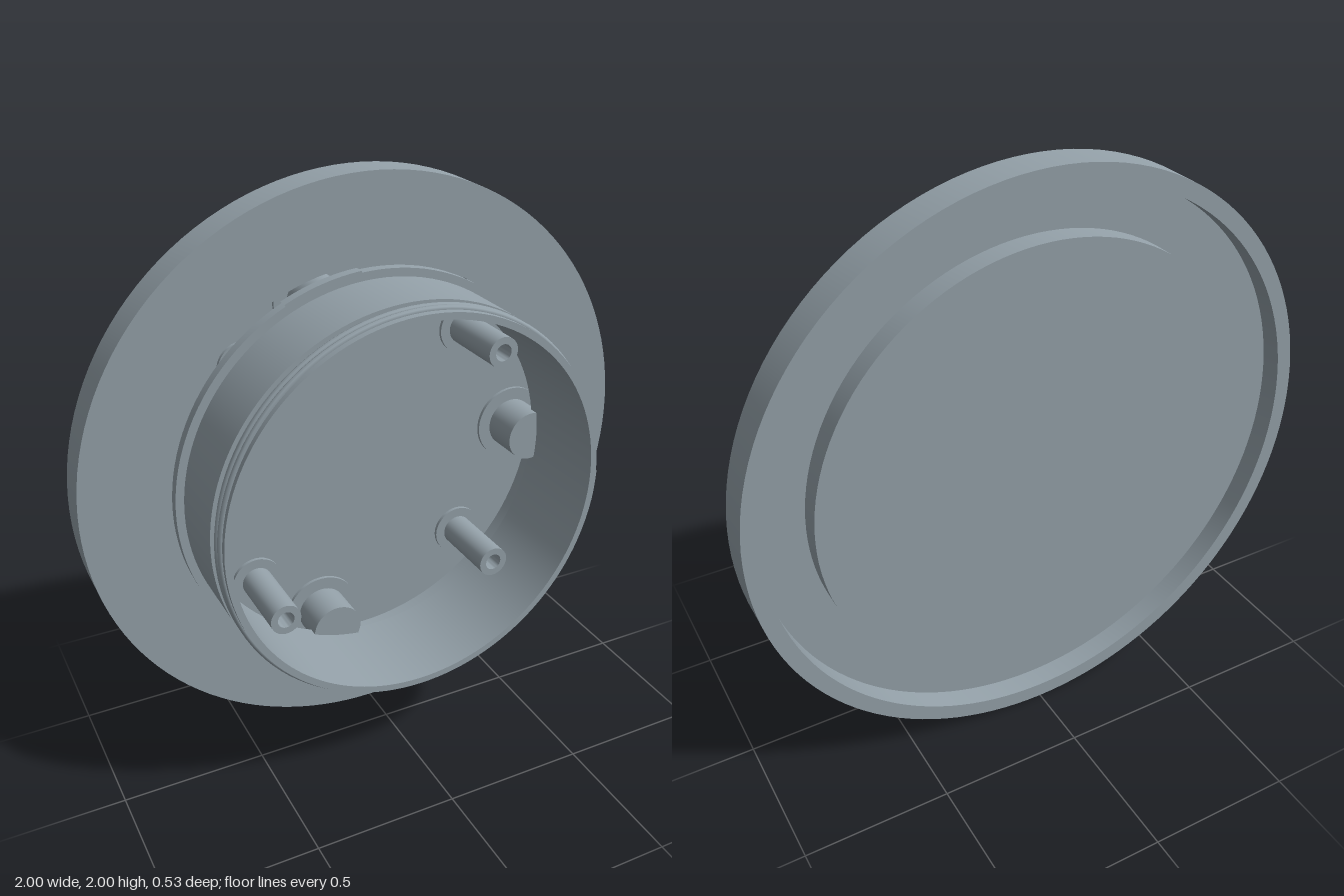
import * as THREE from 'three';
import { toCreasedNormals } from 'three/addons/utils/BufferGeometryUtils.js';

export function createModel() {
  const model = new THREE.Group();
  const grey = new THREE.MeshStandardMaterial({ color: 0x94a1a9 });
  grey.name = 'blue grey';

  // Solid of revolution about z from a closed [radius, z] outline (counter-clockwise)
  function turned(name, outline, x = 0, y = 0, segments = 96, start = 0, sweep = Math.PI * 2) {
    const points = outline.map(([r, z]) => new THREE.Vector2(r, z));
    const lathe = new THREE.LatheGeometry(points, segments, start, sweep);
    lathe.rotateX(Math.PI / 2);
    const mesh = new THREE.Mesh(toCreasedNormals(lathe, 0.5), grey);
    mesh.name = name;
    mesh.position.set(x, 1 + y, 0);
    model.add(mesh);
    return mesh;
  }

  const floor = -0.215;

  // Large face plate: shallow pocket in front, ring groove behind
  turned('facePlate', [
    [0, -0.265], [0.78, -0.265], [0.78, -0.19], [0.945, -0.19], [0.945, -0.265],
    [1, -0.265], [1, -0.14], [0.71, -0.14], [0.71, floor], [0, floor],
  ], 0, 0, 128);

  // Open collar with rear flange and a reduced front neck
  turned('collar', [
    [0.645, -0.1], [0.71, -0.1], [0.71, -0.065], [0.682, -0.065], [0.682, 0.18],
    [0.668, 0.18], [0.668, 0.265], [0.645, 0.265], [0.645, -0.1],
  ], 0, 0, 128);

  // Screw thread around the neck
  const turns = 2, path = [];
  for (let i = 0; i <= 96; i++) {
    const t = i / 96, a = t * turns * Math.PI * 2;
    path.push(new THREE.Vector3(0.669 * Math.cos(a), 0.669 * Math.sin(a), 0.196 + 0.054 * t));
  }
  const thread = new THREE.Mesh(
    new THREE.TubeGeometry(new THREE.CatmullRomCurve3(path), 220, 0.011, 8), grey);
  thread.name = 'neckThread';
  thread.position.y = 1;
  model.add(thread);

  // Four hollow screw posts standing on round pads
  for (const x of [-0.405, 0.405]) {
    for (const y of [-0.405, 0.405]) {
      turned('screwPost', [
        [0, floor], [0.09, floor], [0.09, floor + 0.012], [0.055, floor + 0.012],
        [0.055, 0.06], [0.03, 0.06], [0.03, -0.16], [0, -0.16],
      ], x, y, 32);
    }
  }

  // Three thick pegs joining plate and collar, each with a widened flange edge
  for (const degrees of [0, 105, 255]) {
    const a = THREE.MathUtils.degToRad(degrees);
    const x = 0.62 * Math.cos(a), y = 0.62 * Math.sin(a);
    turned('collarPeg', [
      [0, floor], [0.135, floor], [0.135, floor + 0.012], [0.09, floor + 0.012],
      [0.09, -0.066], [0, -0.066],
    ], x, y, 40);
    turned('flangeTab', [
      [0.7, -0.1], [0.716, -0.1], [0.716, -0.065], [0.7, -0.065],
    ], 0, 0, 16, a + Math.PI / 2 - 0.19, 0.38);
  }

  return model;
}
